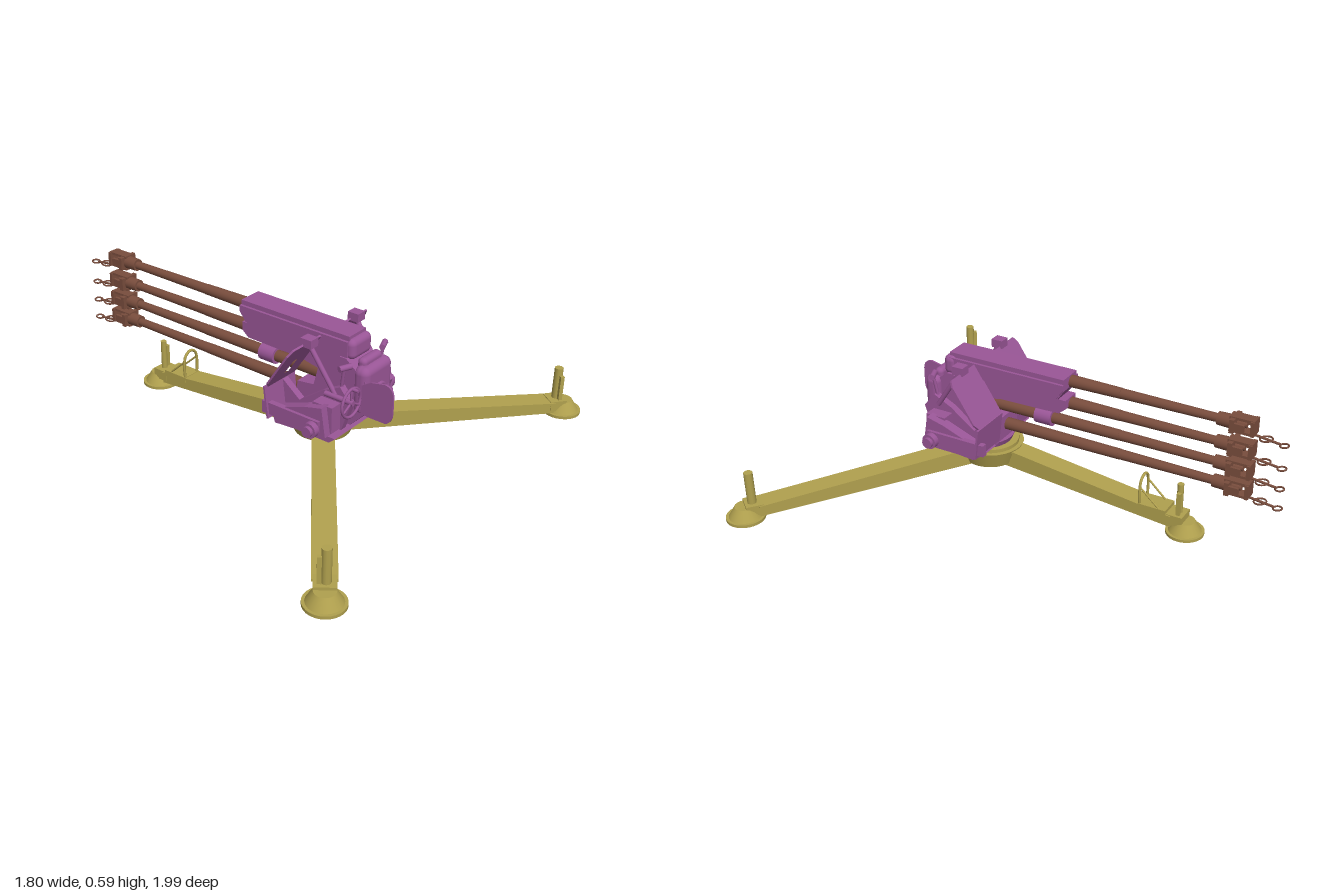
import * as THREE from 'three';
import { RoundedBoxGeometry } from 'three/addons/geometries/RoundedBoxGeometry.js';

const mat = (name, color) => Object.assign(new THREE.MeshStandardMaterial({ color }), { name });

export function createModel() {
  const root = new THREE.Group();
  root.name = 'quadGun';
  const olive = mat('olive', 0xb0a04e);
  const purple = mat('purple', 0x9a5697);
  const brown = mat('brown', 0x794d3d);

  const add = (parent, name, geo, m, x = 0, y = 0, z = 0) => {
    const mesh = new THREE.Mesh(geo, m);
    mesh.name = name;
    mesh.position.set(x, y, z);
    parent.add(mesh);
    return mesh;
  };
  const box = (p, name, m, w, h, d, x, y, z) => add(p, name, new THREE.BoxGeometry(w, h, d), m, x, y, z);
  // cylinder between two points
  const rod = (p, name, m, a, b, r1, r2 = r1, n = 12) => {
    const A = new THREE.Vector3(...a), B = new THREE.Vector3(...b), d = B.clone().sub(A);
    const mesh = add(p, name, new THREE.CylinderGeometry(r2, r1, d.length(), n), m);
    mesh.position.copy(A).addScaledVector(d, 0.5);
    mesh.quaternion.setFromUnitVectors(new THREE.Vector3(0, 1, 0), d.normalize());
    return mesh;
  };
  // side profile of [z, y] points, extruded across x
  const profile = (p, name, m, pts, width, x = 0) => {
    const g = new THREE.ExtrudeGeometry(new THREE.Shape(pts.map(q => new THREE.Vector2(...q))), { depth: width, bevelEnabled: false });
    g.translate(0, 0, -width / 2).rotateY(-Math.PI / 2);
    return add(p, name, g, m, x);
  };

  // ---- tripod base ----
  const base = new THREE.Group();
  base.name = 'tripod';
  base.position.z = 0.28;
  root.add(base);
  add(base, 'hub', new THREE.CylinderGeometry(0.14, 0.115, 0.07, 32), olive, 0, 0.155, 0);
  add(base, 'hubRim', new THREE.CylinderGeometry(0.12, 0.12, 0.02, 32), olive, 0, 0.195, 0);

  const leg = (name, angle, len, footY, tipTop, tipBottom, postTop, postWidth) => {
    const g = new THREE.Group();
    g.name = name;
    g.rotation.y = angle;
    base.add(g);
    profile(g, 'legBeam', olive, [[0, 0.118], [0, 0.19], [len - 0.05, tipTop], [len - 0.05, tipBottom]], 0.075);
    profile(g, 'legCap', olive, [[0.04, 0.187], [0.04, 0.197], [len - 0.05, tipTop + 0.006], [len - 0.05, tipTop - 0.004]], 0.09);
    add(g, 'footPad', new THREE.CylinderGeometry(0.078, 0.078, 0.012, 28), olive, 0, footY + 0.006, len);
    add(g, 'footCone', new THREE.CylinderGeometry(0.04, 0.068, 0.045, 20), olive, 0, footY + 0.033, len);
    box(g, 'footClamp', olive, 0.08, 0.045, 0.07, 0, tipTop - 0.012, len - 0.035);
    rod(g, 'jackPost', olive, [0.004, footY, len - 0.03], [0.004, postTop, len - 0.03], postWidth / 2);
    box(g, 'jackHandle', olive, 0.016, postTop - tipTop - 0.03, 0.016, -0.02, (postTop + tipTop - 0.03) / 2, len - 0.025);
    rod(g, 'anchorPin', olive, [0, footY - 0.018, len - 0.03], [0, footY + 0.01, len - 0.03], 0.006);
    return g;
  };
  const spread = Math.atan2(0.82, 0.63);
  leg('frontLegLeft', spread, 1.04, 0.062, 0.118, 0.075, 0.265, 0.036);
  leg('frontLegRight', -spread, 1.035, 0.062, 0.118, 0.075, 0.265, 0.036);
  const rear = leg('rearLeg', Math.PI, 0.9, 0.018, 0.092, 0.046, 0.23, 0.026);

  // travel lock arch on the rear leg
  const arch = new THREE.CatmullRomCurve3([[-0.035, 0.1], [-0.04, 0.17], [-0.03, 0.215], [0, 0.232], [0.03, 0.215], [0.04, 0.17], [0.035, 0.1]]
    .map(([x, y]) => new THREE.Vector3(x, y, 0.715)));
  add(rear, 'travelLockArch', new THREE.TubeGeometry(arch, 28, 0.006, 8), olive);
  for (const s of [-1, 1]) rod(rear, 'travelLockBrace', olive, [s * 0.038, 0.19, 0.715], [s * 0.035, 0.095, 0.82], 0.004);
  box(rear, 'travelLockFoot', olive, 0.09, 0.025, 0.12, 0, 0.105, 0.77);

  // ---- barrels ----
  const barrels = new THREE.Group();
  barrels.name = 'barrels';
  barrels.position.x = -0.008;
  root.add(barrels);
  [[0.555, -0.05], [0.458, -0.05], [0.37, 0.33], [0.285, 0.25]].forEach(([y, start], i) => {
    const b = new THREE.Group();
    b.name = 'barrel' + (i + 1);
    b.position.y = y;
    barrels.add(b);
    rod(b, 'barrelRear', brown, [0, 0, start], [0, 0, -0.32], 0.026, 0.022, 20);
    rod(b, 'barrelTube', brown, [0, 0, -0.32], [0, 0, -0.73], 0.021, 0.017, 20);
    rod(b, 'muzzleCollar', brown, [0, 0, -0.72], [0, 0, -0.78], 0.026, 0.028, 20);
    // open frame muzzle brake
    box(b, 'brakeRearPlate', brown, 0.085, 0.055, 0.018, 0, 0, -0.787);
    box(b, 'brakeFrontPlate', brown, 0.06, 0.06, 0.014, 0, 0, -0.863);
    for (const s of [-1, 1]) {
      box(b, 'brakeRail', brown, 0.045, 0.01, 0.1, 0, s * 0.027, -0.82);
      box(b, 'brakeCheek', brown, 0.012, 0.03, 0.055, s * 0.036, 0, -0.808);
    }
    rod(b, 'brakeCore', brown, [0, 0, -0.78], [0, 0, -0.835], 0.012);
    // sloping rod with rings
    rod(b, 'tipRod', brown, [-0.004, -0.03, -0.83], [-0.004, -0.047, -0.965], 0.005, 0.005, 8);
    for (const [z, r, ry] of [[-0.98, 0.017, -0.049], [-0.91, 0.024, -0.04]]) {
      const ring = add(b, 'tipRing', new THREE.TorusGeometry(r, 0.0035, 6, 20), brown, -0.004, ry, z);
      ring.rotation.x = Math.PI / 2 + 0.12;
    }
  });

  // ---- mount and receiver ----
  const gun = new THREE.Group();
  gun.name = 'mount';
  root.add(gun);
  add(gun, 'turntable', new THREE.CylinderGeometry(0.13, 0.115, 0.035, 32), purple, 0, 0.212, 0.31);
  profile(gun, 'cradleFloor', purple, [[0.2, 0.225], [0.48, 0.225], [0.45, 0.2], [0.24, 0.2]], 0.38);
  profile(gun, 'upperShroud', purple, [[-0.1, 0.585], [0.43, 0.585], [0.43, 0.49], [-0.07, 0.49], [-0.1, 0.535]], 0.105, 0.005);
  profile(gun, 'shroudFlange', purple, [[-0.1, 0.565], [0.43, 0.565], [0.43, 0.5], [-0.07, 0.5], [-0.1, 0.54]], 0.128, 0.005);
  profile(gun, 'lowerShroud', purple, [[-0.1, 0.487], [0.42, 0.49], [0.42, 0.4], [0.3, 0.4], [0.2, 0.42], [-0.07, 0.425], [-0.1, 0.45]], 0.085, 0);
  rod(gun, 'barrelSleeve', purple, [-0.008, 0.37, 0.055], [-0.008, 0.37, -0.02], 0.036, 0.036, 20);
  profile(gun, 'cradle', purple, [[0.43, 0.5], [0.52, 0.43], [0.54, 0.31], [0.46, 0.225], [0.2, 0.225], [0.2, 0.33], [0.28, 0.34], [0.3, 0.42], [0.4, 0.5]], 0.15, 0.01);
  for (const s of [-1, 1]) {
    profile(gun, 'sideFrame', purple, [[0.46, 0.42], [0.51, 0.36], [0.47, 0.24], [0.2, 0.24], [0.18, 0.37], [0.27, 0.3], [0.38, 0.38]], 0.03, s * 0.125);
    profile(gun, 'outerFrame', purple, [[0.44, 0.36], [0.46, 0.24], [0.22, 0.22], [0.2, 0.28], [0.36, 0.34]], 0.045, s * 0.205);
    box(gun, 'sideGearbox', purple, 0.06, 0.11, 0.09, s * 0.165, 0.3, 0.42);
    rod(gun, 'trunnion', purple, [s * 0.1, 0.27, 0.41], [s * 0.28, 0.27, 0.41], 0.022, 0.022, 16);
    rod(gun, 'trunnionCap', purple, [s * 0.24, 0.27, 0.41], [s * 0.265, 0.27, 0.41], 0.032, 0.032, 16);
    box(gun, 'sightBox', purple, 0.045, 0.035, 0.05, s * 0.15, 0.57, 0.32);
    rod(gun, 'sightArm', purple, [s * 0.15, 0.56, 0.32], [s * 0.14, 0.38, 0.44], 0.01);
    rod(gun, 'controlLever', purple, [s * 0.12, 0.39, 0.45], [s * 0.13, 0.51, 0.47], 0.007);
    rod(gun, 'controlGrip', purple, [s * 0.1, 0.5, 0.48], [s * 0.15, 0.5, 0.46], 0.012);
    box(gun, 'shieldBracket', purple, 0.025, 0.05, 0.27, s * 0.228, 0.28, 0.3);
  }

  // slanted shield panels, the right one with a viewing slit
  const shield = (s) => {
    const shape = new THREE.Shape([[0.065, 0], [0.23, 0], [0.25, 0.03], [0.25, 0.2], [0.235, 0.23], [0.065, 0.23]]
      .map(([x, y]) => new THREE.Vector2(s * x, y)));
    const slit = new THREE.Path();
    slit.moveTo(s * 0.14, 0.05).lineTo(s * 0.165, 0.05).lineTo(s * 0.165, 0.13).lineTo(s * 0.14, 0.13).closePath();
    if (s < 0) shape.holes.push(slit);
    const top = add(gun, 'shieldUpper', new THREE.ExtrudeGeometry(shape, { depth: 0.008, bevelEnabled: false }), purple, 0, 0.37, 0.18);
    top.rotation.x = 0.58;
    const low = box(gun, 'shieldLower', purple, 0.185, 0.135, 0.008, s * 0.1575, 0.307, 0.191);
    low.rotation.x = -0.13;
  };
  shield(1);
  shield(-1);

  // breech covers facing the crew
  add(gun, 'breechCover', new RoundedBoxGeometry(0.18, 0.2, 0.07, 4, 0.03), purple, 0.02, 0.38, 0.495);
  add(gun, 'topCover', new RoundedBoxGeometry(0.13, 0.085, 0.06, 4, 0.025), purple, 0.01, 0.53, 0.425);
  add(gun, 'breechPlate', new RoundedBoxGeometry(0.12, 0.11, 0.04, 4, 0.018), purple, 0.02, 0.45, 0.48);
  add(gun, 'breechBoss', new THREE.TorusGeometry(0.035, 0.009, 8, 24), purple, 0.02, 0.36, 0.53);

  // thin rounded side guard
  const g = new THREE.Shape();
  g.moveTo(0.5, 0.3).lineTo(0.54, 0.29).lineTo(0.62, 0.29).quadraticCurveTo(0.648, 0.3, 0.65, 0.34)
    .lineTo(0.65, 0.41).quadraticCurveTo(0.648, 0.45, 0.61, 0.452).lineTo(0.55, 0.44).lineTo(0.5, 0.41).closePath();
  const guard = new THREE.ExtrudeGeometry(g, { depth: 0.008, bevelEnabled: false, curveSegments: 8 });
  add(gun, 'sideGuard', guard.rotateY(-Math.PI / 2), purple, -0.061);

  // hand wheel with spokes
  const wheel = new THREE.Group();
  wheel.name = 'handWheel';
  wheel.position.set(-0.15, 0.38, 0.52);
  gun.add(wheel);
  add(wheel, 'wheelRim', new THREE.TorusGeometry(0.058, 0.006, 8, 32), purple);
  for (let i = 0; i < 3; i++) {
    const a = i * Math.PI * 2 / 3 + Math.PI / 2;
    rod(wheel, 'wheelSpoke', purple, [0, 0, 0], [Math.cos(a) * 0.058, Math.sin(a) * 0.058, 0], 0.005, 0.005, 8);
  }
  rod(wheel, 'wheelShaft', purple, [0, 0, 0.01], [0, 0, -0.12], 0.011);
  rod(wheel, 'wheelGrip', purple, [0.0, 0.058, 0], [0.0, 0.058, 0.03], 0.007);
  return root;
}
